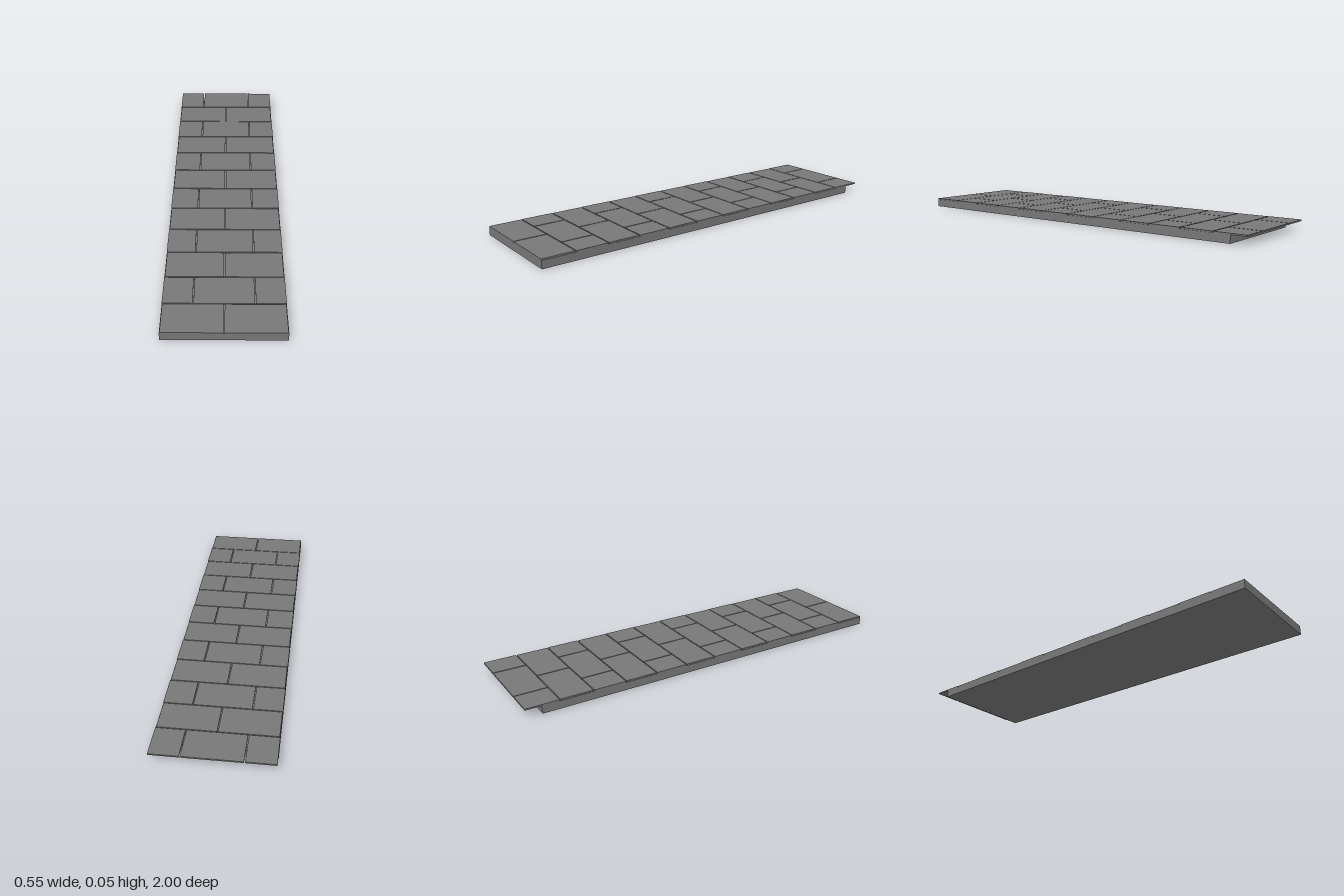
import * as THREE from 'three';

const WIDTH = 0.55, BASE_TOP = 0.039, TOP = 0.046;
const ROWS = 12, PITCH = 2 / ROWS, GAP = 0.005;

export function createModel() {
  const group = new THREE.Group();
  const material = new THREE.MeshStandardMaterial({ color: 0x777777, flatShading: true });

  function box(name, x0, x1, y0, y1, z0, z1) {
    const mesh = new THREE.Mesh(new THREE.BoxGeometry(x1 - x0, y1 - y0, z1 - z0), material);
    mesh.position.set((x0 + x1) / 2, (y0 + y1) / 2, (z0 + z1) / 2);
    mesh.name = name;
    group.add(mesh);
  }

  // Solid slab, stopping short of the last row of tiles
  box('baseSlab', -WIDTH / 2, WIDTH / 2, 0, BASE_TOP, -0.92, 1);

  // Running bond: two whole tiles, then half, whole, half
  const half = WIDTH / 2, quarter = WIDTH / 4, g = GAP / 2;
  for (let row = 0; row < ROWS; row++) {
    const z1 = 1 - row * PITCH - (row ? g : 0);
    const z0 = 1 - (row + 1) * PITCH + (row < ROWS - 1 ? g : 0);
    const whole = row % 2 === 0;
    const joints = whole ? [-half, 0, half] : [-half, -quarter, quarter, half];
    for (let i = 0; i < joints.length - 1; i++) {
      // Cut half tiles run flush with the slab edge; whole tiles keep their gap
      const left = !whole && i === 0 ? 0 : g;
      const right = !whole && i === joints.length - 2 ? 0 : g;
      box(whole || i === 1 ? 'wholeTile' : 'halfTile',
        joints[i] + left, joints[i + 1] - right, BASE_TOP, TOP, z0, z1);
    }
  }
  return group;
}
